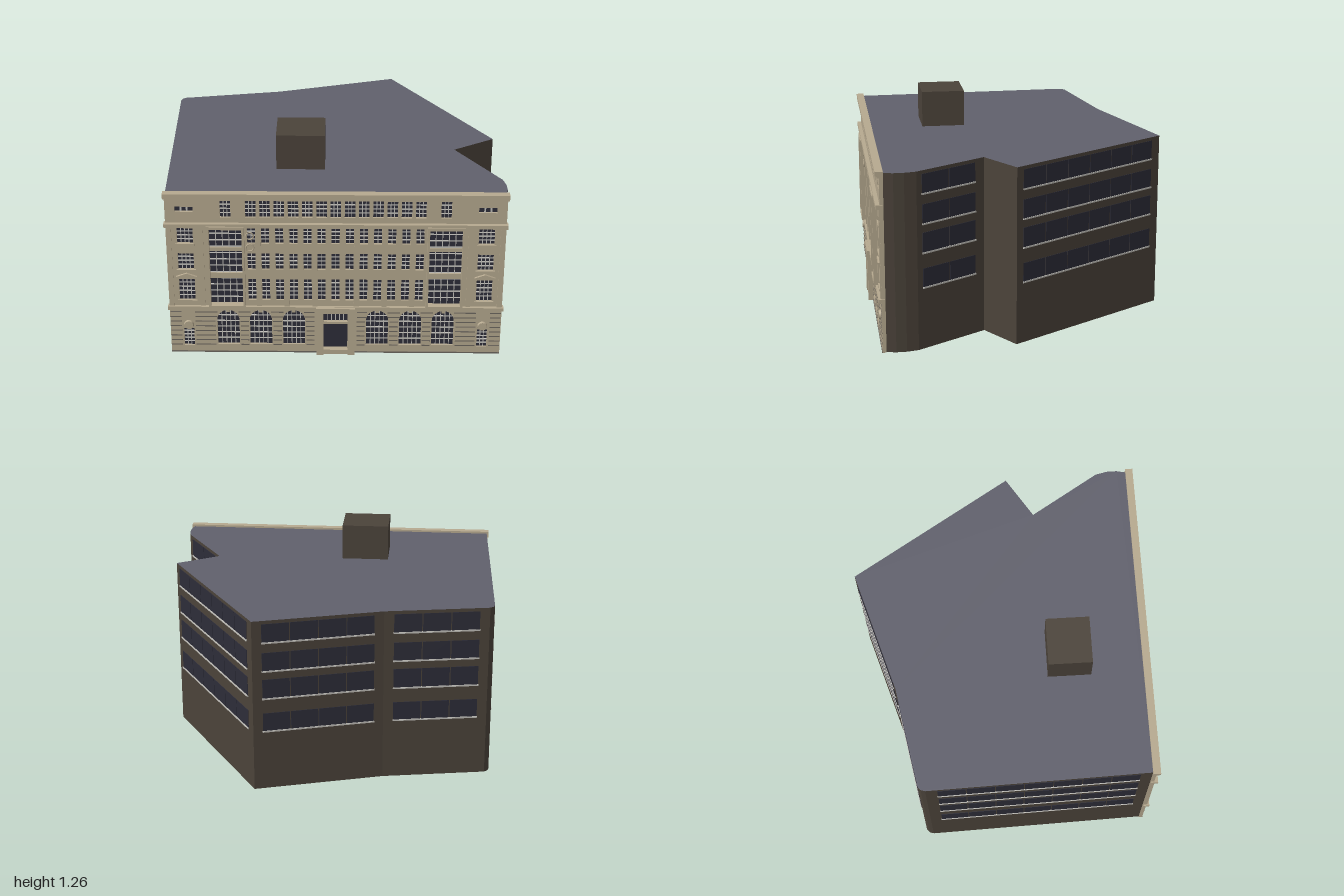
import * as THREE from 'three';
import { mergeGeometries } from 'three/addons/utils/BufferGeometryUtils.js';

const mat = (name, color) => {
  const m = new THREE.MeshStandardMaterial({ color });
  m.name = name;
  return m;
};

export function createModel() {
  const model = new THREE.Group();
  const stone = mat('stone', 0xb6a98f), brick = mat('brown brick', 0x4b433a);
  const slate = mat('roof slate', 0x60606c), glass = mat('dark glass', 0x2d2d39);
  const frame = mat('pale frame', 0xc4c2bc), groove = mat('groove', 0x6d675f);

  const add = (parent, name, geo, material) => {
    const mesh = new THREE.Mesh(geo, material);
    mesh.name = name;
    parent.add(mesh);
    return mesh;
  };
  // box from its x, y and z ranges
  const box = (x0, x1, y0, y1, z0, z1) =>
    new THREE.BoxGeometry(x1 - x0, y1 - y0, z1 - z0).translate((x0 + x1) / 2, (y0 + y1) / 2, (z0 + z1) / 2);

  // ---- main block on an irregular footprint (x, z) ----
  const plan = [[-0.98, 0.69], [0.95, 0.845], [0.966, 0.79], [0.97, 0.73], [0.96, 0.66], [0.74, 0.235],
    [0.995, 0.1], [0.48, -0.895], [-0.27, -0.73], [-0.88, -0.67], [-0.9, -0.655], [-0.91, -0.63]];
  const planShape = new THREE.Shape(plan.map(([x, z]) => new THREE.Vector2(x, -z)));
  const prism = (y0, y1) =>
    new THREE.ExtrudeGeometry(planShape, { depth: y1 - y0, bevelEnabled: false }).rotateX(-Math.PI / 2).translate(0, y0, 0);
  add(model, 'mainWalls', prism(0, 1.04), brick);
  add(model, 'roof', prism(1.04, 1.05), [slate, brick]);

  // roof house
  const roofHouse = add(model, 'roofHouse', new THREE.BoxGeometry(0.284, 0.22, 0.258), brick);
  roofHouse.position.set(-0.185, 1.155, 0.311);
  roofHouse.rotation.y = -0.08;

  // ---- strip windows on the side and rear walls ----
  // a to b runs left to right as seen from outside
  const rows = [[0.37, 0.48], [0.575, 0.69], [0.745, 0.855], [0.92, 1.03]];
  const wallWindows = (name, a, b, t0, t1, n) => {
    const wall = new THREE.Group();
    const dx = b[0] - a[0], dz = b[1] - a[1], len = Math.hypot(dx, dz);
    wall.name = name;
    wall.position.set(a[0], 0, a[1]);
    wall.rotation.y = Math.atan2(-dz, dx);
    const panes = [], sills = [];
    const u0 = t0 * len, step = (t1 - t0) * len / n;
    for (const [y0, y1] of rows) {
      for (let i = 0; i < n; i++)
        panes.push(box(u0 + i * step + 0.003, u0 + (i + 1) * step - 0.003, y0, y1, -0.002, 0.003));
      sills.push(box(u0, t1 * len, y0 - 0.009, y0, -0.002, 0.007));
    }
    add(wall, name + 'Panes', mergeGeometries(panes), glass);
    add(wall, name + 'Sills', mergeGeometries(sills), frame);
    model.add(wall);
  };
  wallWindows('rightFrontWindows', [0.96, 0.66], [0.74, 0.235], 0.07, 0.87, 2);
  wallWindows('rightRearWindows', [0.995, 0.1], [0.48, -0.895], 0.04, 0.945, 6);
  wallWindows('rearWindowsLong', [0.48, -0.895], [-0.27, -0.73], 0.07, 0.93, 4);
  wallWindows('rearWindowsShort', [-0.27, -0.73], [-0.88, -0.67], 0.09, 0.91, 3);
  wallWindows('leftWindows', [-0.91, -0.63], [-0.98, 0.69], 0.05, 0.95, 7);

  // ---- street facade, local z = 0 at its stone face ----
  const facade = new THREE.Group();
  facade.name = 'facade';
  facade.position.set(-0.015, 0, 0.789);
  facade.rotation.y = -0.0797;
  model.add(facade);

  const W = 0.975;
  const wallShape = new THREE.Shape();
  wallShape.moveTo(-W, 0).lineTo(W, 0).lineTo(W, 1.06).lineTo(-W, 1.06).closePath();
  const bars = [], trim = [], grooves = [];
  const BAR = 0.0045, BZ0 = -0.015, BZ1 = -0.008;

  // opening with glazing bars; arched ones end in a half circle of radius w / 2
  const opening = (u, w, y0, y1, cols, nRows, arched = false, bar = BAR) => {
    const h = w / 2, spring = arched ? y1 - h : y1;
    const hole = new THREE.Path();
    hole.moveTo(u - h, y0).lineTo(u - h, spring);
    if (arched) hole.absarc(u, spring, h, Math.PI, 0, true);
    else hole.lineTo(u + h, spring);
    hole.lineTo(u + h, y0).closePath();
    wallShape.holes.push(hole);
    for (let i = 1; i < cols; i++) {
      const d = -h + w * i / cols;
      const top = arched ? spring + Math.sqrt(h * h - d * d) : y1;
      bars.push(box(u + d - bar / 2, u + d + bar / 2, y0, top, BZ0, BZ1));
    }
    for (let j = 1; j < nRows; j++) {
      const y = y0 + (y1 - y0) * j / nRows;
      const half = y > spring ? Math.sqrt(h * h - (y - spring) ** 2) : h;
      bars.push(box(u - half, u + half, y - BAR / 2, y + BAR / 2, BZ0, BZ1));
    }
  };

  // middle windows on all upper floors
  const step = 0.081;
  const floors = [[0.36, 0.5, 5], [0.565, 0.67, 4], [0.735, 0.835, 4]];
  for (let i = -6; i <= 6; i++) {
    opening(i * step, 0.06, 0.905, 1.01, 3, 4);
    for (const [y0, y1, n] of floors) opening(i * step, 0.046, y0, y1, 2, n);
  }

  for (const s of [-1, 1]) {
    // attic and end windows
    opening(s * 0.63, 0.06, 0.905, 1.01, 3, 4);
    opening(s * 0.866, 0.105, 0.94, 0.972, 3, 1, false, 0.01);
    for (const [y0, y1, n] of floors) {
      opening(s * 0.866, 0.092, y0, y1, 4, n);
      trim.push(box(s * 0.866 - 0.056, s * 0.866 + 0.056, y0 - 0.012, y0, -0.004, 0.008));
    }
    opening(s * 0.866, 0.06, 0.045, 0.165, 3, 5);

    // tall glazed bay with projecting frame and two spandrels
    const c = s * 0.633;
    opening(c, 0.19, 0.335, 0.838, 5, 12);
    for (const [y0, y1] of [[0.505, 0.54], [0.685, 0.708]]) trim.push(box(c - 0.095, c + 0.095, y0, y1, -0.015, -0.003));
    for (const e of [-1, 1]) {
      const m = c + e * 0.101;
      trim.push(box(m - 0.007, m + 0.007, 0.32, 0.855, -0.004, 0.03));
    }
    trim.push(box(c - 0.108, c + 0.108, 0.838, 0.857, -0.004, 0.03));
    trim.push(box(c - 0.108, c + 0.108, 0.32, 0.336, -0.004, 0.03));

    // ground floor arches with keystones
    for (const a of [0.245, 0.44, 0.632]) {
      opening(s * a, 0.13, 0.055, 0.29, 5, 6, true);
      trim.push(box(s * a - 0.01, s * a + 0.01, 0.282, 0.305, -0.004, 0.012));
    }

    // pilasters
    for (const k of [1.5, 3.5, 5.5])
      trim.push(box(s * k * step - 0.015, s * k * step + 0.015, 0.32, 0.85, -0.004, 0.008));
    for (const p of [0.775, 0.958]) trim.push(box(s * p - 0.014, s * p + 0.014, 0.32, 0.85, -0.004, 0.006));

    // pediment over the first floor end window
    const ped = new THREE.Shape([[-0.06, 0.512], [0.06, 0.512], [0.06, 0.52], [0, 0.542], [-0.06, 0.52]]
      .map(([x, y]) => new THREE.Vector2(s * 0.866 + x, y)));
    add(facade, 'pediment', new THREE.ExtrudeGeometry(ped, { depth: 0.014, bevelEnabled: false }), stone);

    // round medallion over the small end window
    const medal = add(facade, 'medallion', new THREE.CylinderGeometry(0.026, 0.03, 0.014, 20).rotateX(Math.PI / 2), stone);
    medal.position.set(s * 0.866, 0.19, 0.005);

    // horizontal joints of the ground floor masonry
    for (let y = 0.05; y < 0.29; y += 0.032) {
      const grow = y > 0.225 ? 0.012 : 0;
      for (const [u0, u1] of [[0.908, 0.972], [0.708, 0.826], [0.512, 0.56], [0.317, 0.368], [0.125, 0.173]]) {
        const x = [s * (u0 - grow * (u0 < 0.9 && u0 > 0.13)), s * (u1 + grow * (u1 < 0.8))].sort((p, q) => p - q);
        grooves.push(box(x[0], x[1], y, y + 0.006, -0.002, 0.002));
      }
    }
  }

  // entrance: transom, door and projecting surround
  opening(0, 0.14, 0.03, 0.288, 1, 1);
  for (let i = 1; i < 6; i++) bars.push(box(-0.07 + i * 0.0233 - 0.002, -0.07 + i * 0.0233 + 0.002, 0.215, 0.288, BZ0, BZ1));
  trim.push(box(-0.07, 0.07, 0.2, 0.215, -0.015, 0.004));
  for (const s of [-1, 1]) trim.push(box(s * 0.092 - 0.02, s * 0.092 + 0.02, 0, 0.29, -0.004, 0.03));
  trim.push(box(-0.114, 0.114, 0.288, 0.32, -0.004, 0.034));
  trim.push(box(-0.072, 0.072, 0, 0.03, -0.004, 0.02));

  // string courses and main cornice
  const L = 0.983;
  trim.push(box(-L, L, 0.3, 0.322, -0.018, 0.018));
  trim.push(box(-L, L, 0.846, 0.871, -0.018, 0.023));
  trim.push(box(-L, L, 1.024, 1.042, -0.022, 0.014));
  trim.push(box(-L, L, 1.036, 1.062, -0.022, 0.023));
  grooves.push(box(-W, W, 0, 0.008, -0.002, 0.003));

  add(facade, 'facadeWall', new THREE.ExtrudeGeometry(wallShape, { depth: 0.022, bevelEnabled: false, curveSegments: 16 })
    .translate(0, 0, -0.022), stone);
  add(facade, 'facadeGlass', box(-0.95, 0.95, 0.02, 1.03, -0.018, -0.014), glass);
  add(facade, 'glazingBars', mergeGeometries(bars), frame);
  add(facade, 'stoneTrim', mergeGeometries(trim), stone);
  add(facade, 'masonryJoints', mergeGeometries(grooves), groove);

  // pair of wall rings beside the left-hand bay
  for (const y of [0.79, 0.715]) {
    const ring = add(facade, 'wallRing', new THREE.TorusGeometry(0.022, 0.004, 6, 20), stone);
    ring.position.set(-0.493, y, 0.01);
  }
  return model;
}
